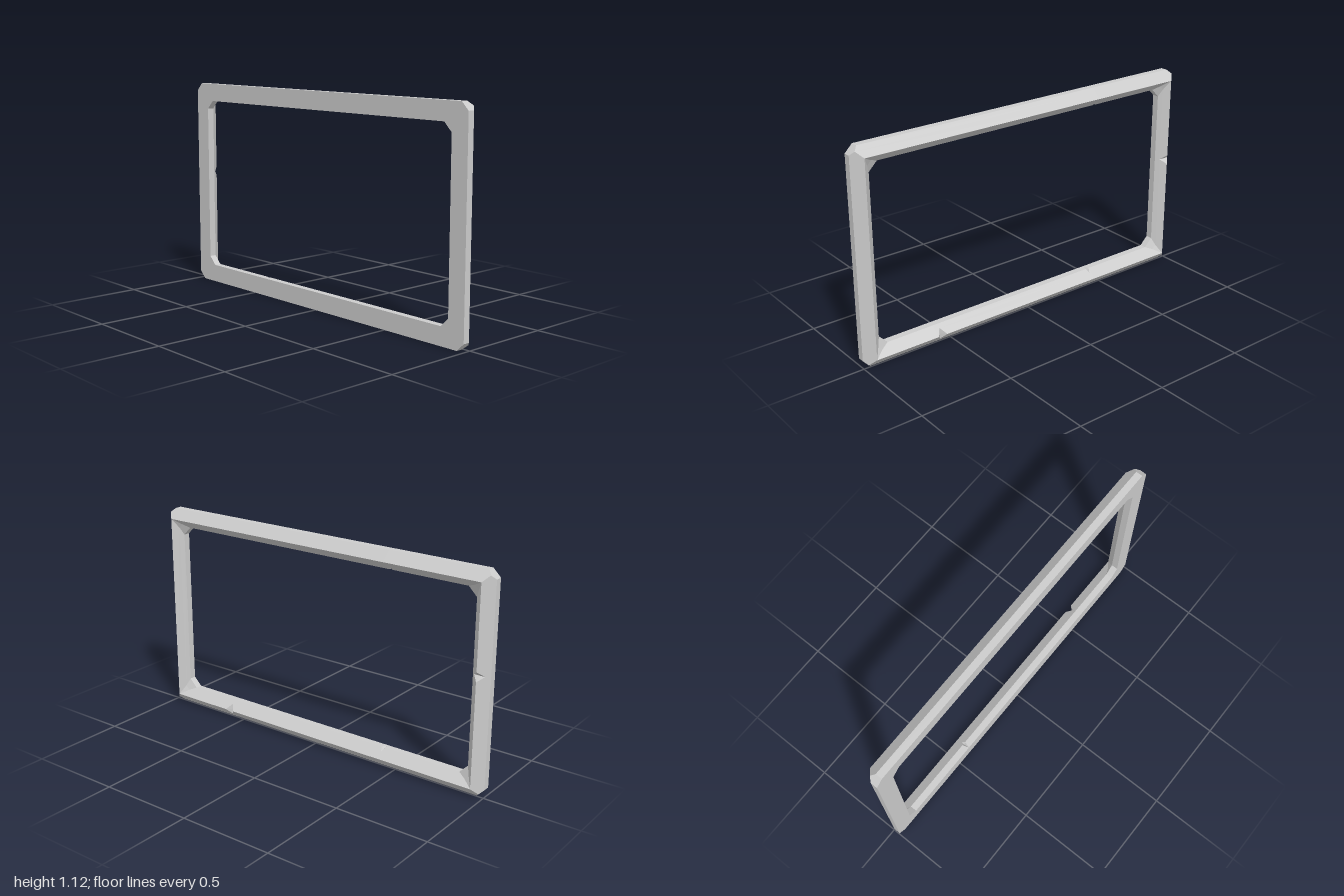
import * as THREE from 'three';

const HALF_W = 1, HALF_H = 0.5625;

// Bar cross-section from the outer front edge round to the inner front edge.
// inset: distance in from the outside; cut: how far the corner is clipped there
const PROFILE = [
  { inset: 0, z: 0.043, cut: 0.04 },
  { inset: 0, z: 0.007, cut: 0.04 },
  { inset: 0.02, z: -0.013, cut: 0 },
  { inset: 0.05, z: -0.043, cut: 0 }, // back ridge
  { inset: 0.078, z: -0.012, cut: 0.022 },
  { inset: 0.095, z: 0.007, cut: 0.045 }, // inner back edge
  { inset: 0.095, z: 0.043, cut: 0.045 },
];

// Small V nicks: profile point pushed in, place along the bar, half width
const ridgeNick = (t) => ({ t, point: 3, half: 0.025, inset: 0.049, z: -0.014 });
const edgeNick = (t) => ({ t, point: 5, half: 0.011, inset: 0.082, z: 0.012 });

// Four bars, counterclockwise: direction and nicks in order
const SIDES = [
  { d: [1, 0], nicks: [edgeNick(-0.42), ridgeNick(0.57)] },
  { d: [0, 1], nicks: [] },
  { d: [-1, 0], nicks: [edgeNick(0.44)] },
  { d: [0, -1], nicks: [ridgeNick(-0.06)] },
];

// Cross-sections along one bar, from corner to corner
function barSections({ d, nicks }) {
  const n = [d[1], -d[0]];
  const along = d[0] ? HALF_W : HALF_H;
  const across = d[0] ? HALF_H : HALF_W;
  const place = (inset, z, t) => new THREE.Vector3(
    n[0] * (across - inset) + d[0] * t,
    n[1] * (across - inset) + d[1] * t + HALF_H, z);
  const corner = (sign) => ({
    points: PROFILE.map((p) => place(p.inset, p.z, sign * (along - p.inset - p.cut))), nick: -1,
  });
  const plain = (t) => ({ points: PROFILE.map((p) => place(p.inset, p.z, t)), nick: -1 });
  const sections = [corner(-1)];
  for (const k of nicks) {
    const middle = plain(k.t);
    middle.points[k.point] = place(k.inset, k.z, k.t);
    middle.nick = k.point;
    sections.push(plain(k.t - k.half), middle, plain(k.t + k.half));
  }
  sections.push(corner(1));
  return sections;
}

function frameGeometry() {
  const sections = SIDES.flatMap(barSections);
  const positions = [];
  const triangle = (a, b, c) => {
    const area = b.clone().sub(a).cross(c.clone().sub(a)).length();
    if (area > 1e-8) for (const p of [a, b, c]) positions.push(p.x, p.y, p.z);
  };
  const m = PROFILE.length;
  sections.forEach((s, i) => {
    const e = sections[(i + 1) % sections.length];
    for (let j = 0; j < m; j++) {
      const k = (j + 1) % m;
      const a = s.points[j], b = s.points[k], c = e.points[k], f = e.points[j];
      // The diagonal avoids a pushed-in point so nicks stay crisp
      if (s.nick === j || e.nick === k) {
        triangle(a, b, f);
        triangle(b, c, f);
      } else {
        triangle(a, b, c);
        triangle(a, c, f);
      }
    }
  });
  const geometry = new THREE.BufferGeometry();
  geometry.setAttribute('position', new THREE.Float32BufferAttribute(positions, 3));
  geometry.computeVertexNormals();
  return geometry;
}

export function createModel() {
  const group = new THREE.Group();
  const material = new THREE.MeshStandardMaterial({ color: 0xcccccc, flatShading: true });
  const frame = new THREE.Mesh(frameGeometry(), material);
  frame.name = 'frame';
  group.add(frame);
  return group;
}
